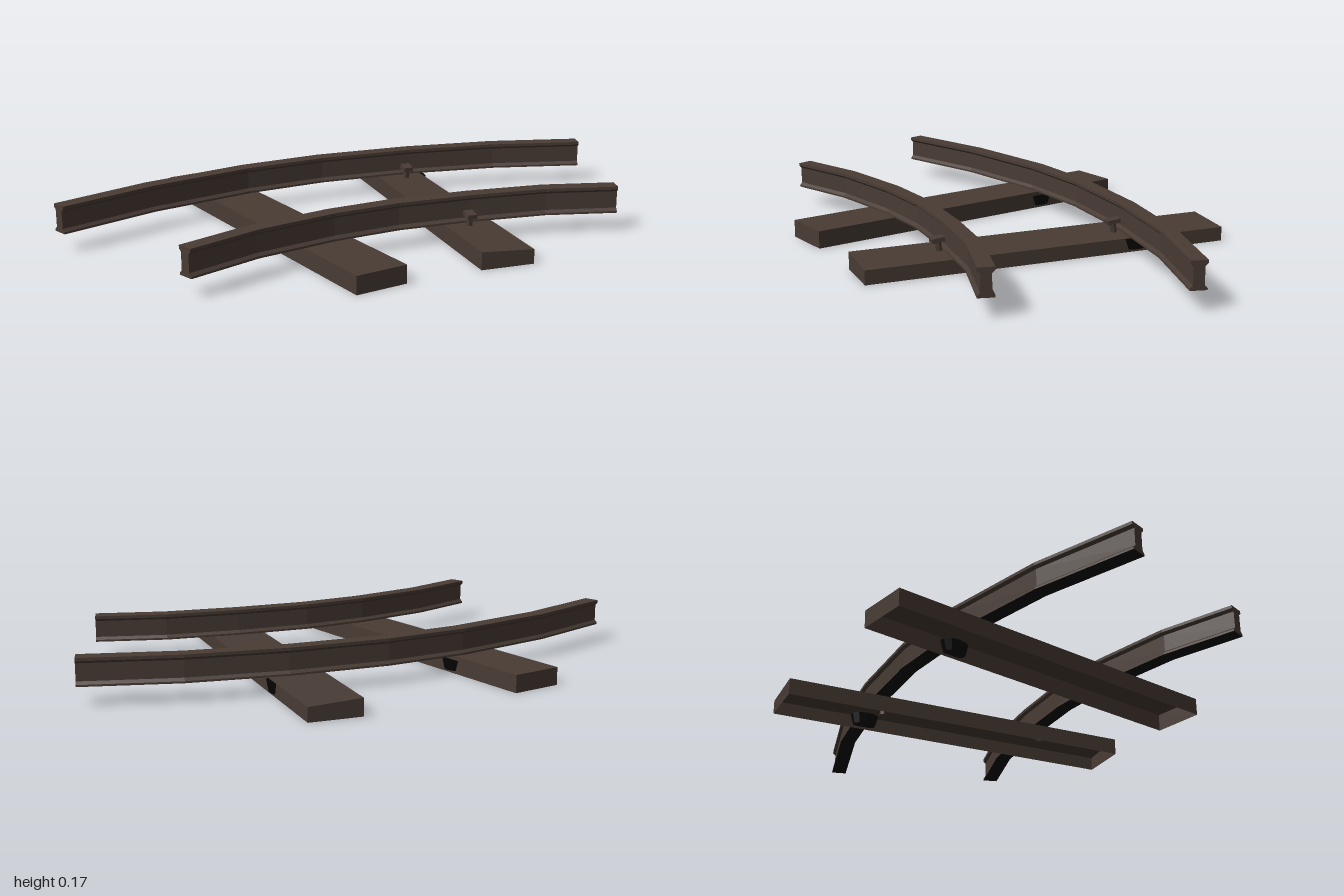
import * as THREE from 'three';

const brown = new THREE.MeshStandardMaterial({ color: 0x483b34, flatShading: true, side: THREE.DoubleSide });
brown.name = 'dark brown';
const black = new THREE.MeshStandardMaterial({ color: 0x040404, flatShading: true, side: THREE.DoubleSide });
black.name = 'black';

// Half of the I-shaped rail section: [offset, height], mirrored below
const half = [[0.029, 0.067], [0.029, 0.074], [0.019, 0.084],
  [0.019, 0.146], [0.029, 0.155], [0.029, 0.166]];
const section = [...half, ...half.map(([o, y]) => [-o, y]).reverse()];

// Sweep the section along a plan path of [x, z] points with mitred joints
function railGeometry(path) {
  const pts = path.map(([x, z]) => new THREE.Vector2(x, z));
  const dirs = pts.slice(1).map((p, i) => p.clone().sub(pts[i]).normalize());
  const pos = [], body = [], underside = [], n = section.length;
  pts.forEach((p, i) => {
    const a = dirs[Math.max(i - 1, 0)], b = dirs[Math.min(i, dirs.length - 1)];
    const t = a.clone().add(b).normalize();
    const mitre = 1 / t.dot(a);
    for (const [o, y] of section) pos.push(p.x - t.y * o * mitre, y, p.y + t.x * o * mitre);
  });
  for (let i = 0; i < pts.length - 1; i++) {
    for (let j = 0; j < n; j++) {
      const a = i * n + j, b = i * n + (j + 1) % n;
      (j === n - 1 ? underside : body).push(a, b, a + n, b, b + n, a + n);
    }
  }
  // End caps
  const last = (pts.length - 1) * n;
  const outline = section.map(([o, y]) => new THREE.Vector2(o, y));
  for (const [a, b, c] of THREE.ShapeUtils.triangulateShape(outline, [])) {
    body.push(a, c, b, last + a, last + b, last + c);
  }
  const g = new THREE.BufferGeometry();
  g.setAttribute('position', new THREE.Float32BufferAttribute(pos, 3));
  g.setIndex([...body, ...underside]);
  const flat = g.toNonIndexed();
  flat.computeVertexNormals();
  flat.addGroup(0, body.length, 0);
  flat.addGroup(body.length, underside.length, 1);
  return flat;
}

// Hollow sleeper, open underneath, with its back edge optionally lower
function tieGeometry(length, width, frontHeight, backHeight) {
  const g = new THREE.BoxGeometry(length, 1, width).translate(0, 0.5, 0);
  const p = g.attributes.position;
  for (let i = 0; i < p.count; i++) {
    if (p.getY(i) > 0.5) p.setY(i, p.getZ(i) > 0 ? frontHeight : backHeight);
  }
  const idx = Array.from(g.index.array);
  idx.splice(18, 6); // remove the underside
  g.setIndex(idx);
  g.clearGroups();
  g.computeVertexNormals();
  return g;
}

export function createModel() {
  const model = new THREE.Group();
  model.name = 'curvedTrack';
  const add = (parent, geometry, name, material = brown) => {
    const mesh = new THREE.Mesh(geometry, material);
    mesh.name = name;
    parent.add(mesh);
    return mesh;
  };

  // Rails with black undersides
  add(model, railGeometry([[-0.52, 0.998], [-0.495, 0.62], [-0.415, 0.22], [-0.31, -0.08],
    [-0.14, -0.41], [0.06, -0.71], [0.297, -0.978]]), 'rightRail', [brown, black]);
  add(model, railGeometry([[0.145, 0.998], [0.16, 0.72], [0.225, 0.42], [0.31, 0.18],
    [0.44, -0.07], [0.59, -0.31], [0.767, -0.51]]), 'leftRail', [brown, black]);

  // Sleepers, each with a black fastening under the outer rail at the back edge
  const ties = [
    ['frontTie', -0.106, 0.362, Math.atan2(0.35, 1.33), 0.065, 0.065],
    ['backTie', 0.126, -0.228, Math.atan2(0.645, 1.205), 0.063, 0.052],
  ];
  for (const [name, x, z, angle, front, back] of ties) {
    const group = new THREE.Group();
    group.name = name;
    group.position.set(x, 0, z);
    group.rotation.y = -angle;
    add(group, tieGeometry(1.37, 0.194, front, back), 'sleeper');
    const fastening = add(group, new THREE.CylinderGeometry(1, 0.8, 0.04, 10), 'fastening', black);
    fastening.scale.set(0.055, 1, 0.034);
    fastening.position.set(-0.33, 0.03, -0.08);
    model.add(group);
  }

  // Spikes beside the rails on the back sleeper
  for (const [x, z] of [[-0.112, -0.372], [0.463, -0.038]]) {
    const spike = new THREE.Group();
    spike.name = 'spike';
    spike.position.set(x, 0.055, z);
    spike.rotation.set(0, -0.5, -0.12);
    add(spike, new THREE.CylinderGeometry(0.012, 0.012, 0.06, 6).translate(0, 0.01, 0), 'spikeShank');
    add(spike, new THREE.BoxGeometry(0.05, 0.016, 0.036).translate(0, 0.044, 0), 'spikeHead');
    model.add(spike);
  }
  return model;
}
